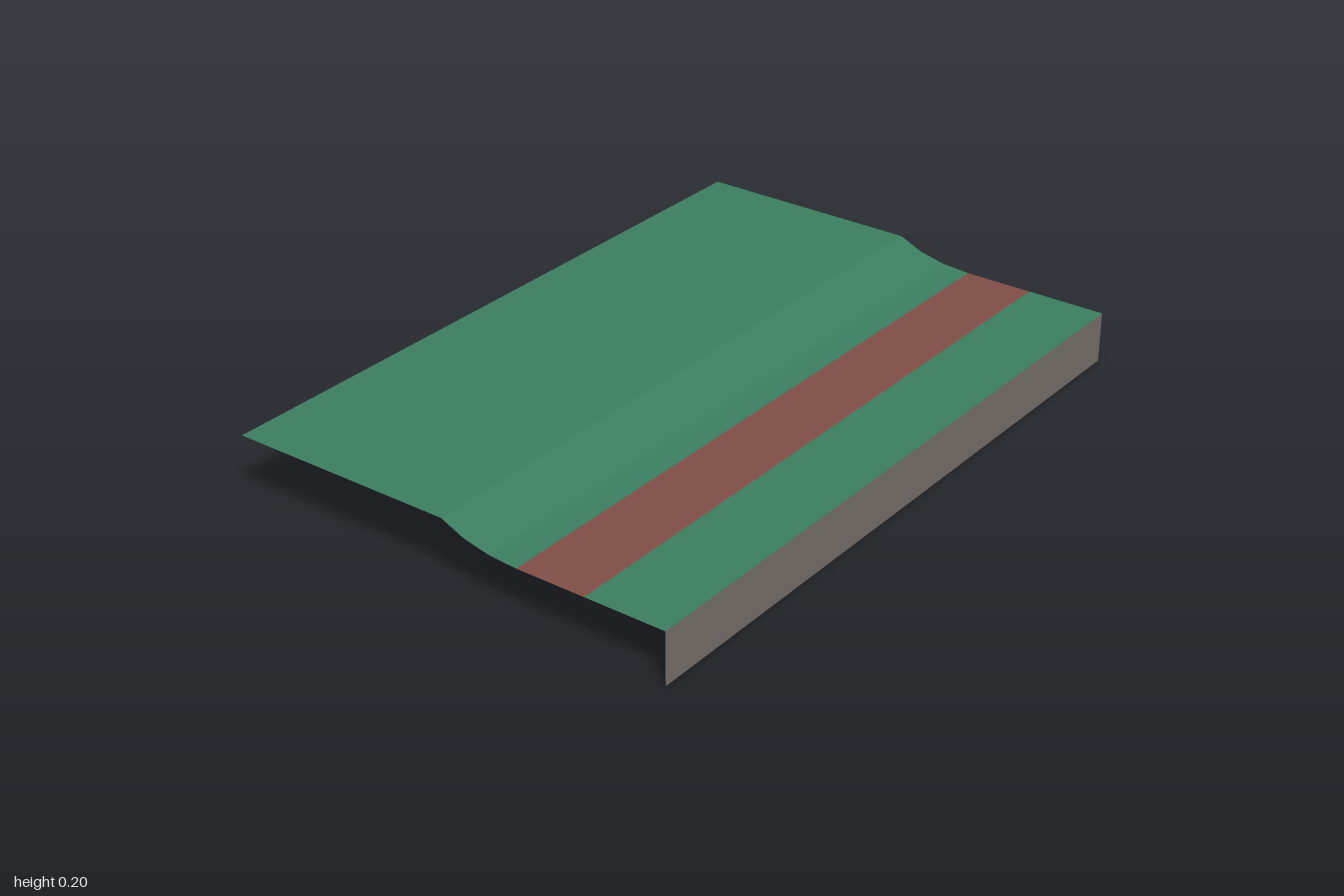
import * as THREE from 'three';

const material = (name, color) => {
  const m = new THREE.MeshStandardMaterial({ color, side: THREE.DoubleSide, flatShading: true });
  m.name = name;
  return m;
};

// Sheet running across x, following a [z, y] profile from front to back
function strip(name, profile, mat) {
  const geometry = new THREE.PlaneGeometry(2, 1, 1, profile.length - 1);
  const pos = geometry.attributes.position;
  for (let i = 0; i < pos.count; i++) {
    const [z, y] = profile[profile.length - 1 - Math.floor(i / 2)];
    pos.setXYZ(i, pos.getX(i), y, z);
  }
  geometry.computeVertexNormals();
  const mesh = new THREE.Mesh(geometry, mat);
  mesh.name = name;
  return mesh;
}

export function createModel() {
  const green = material('green', 0x3b7d5f);
  const red = material('brick red', 0x7f4d46);
  const grey = material('warm grey', 0x736c66);

  const depth = 0.667, low = 0.148, high = 0.202;
  const model = new THREE.Group();
  model.name = 'steppedSurface';

  // Vertical face along the front
  model.add(strip('frontWall', [[depth, 0], [depth, low]], grey));

  // Lower level with its coloured band
  model.add(strip('frontEdge', [[depth, low], [0.433, low]], green));
  model.add(strip('band', [[0.433, low], [0.23, low]], red));

  // Curved rise in three facets
  model.add(strip('curvedRise', [[0.23, low], [0.146, 0.154], [0.07, 0.171], [0, high]], green));

  // Upper level
  model.add(strip('upperLevel', [[0, high], [-depth, high]], green));
  return model;
}
